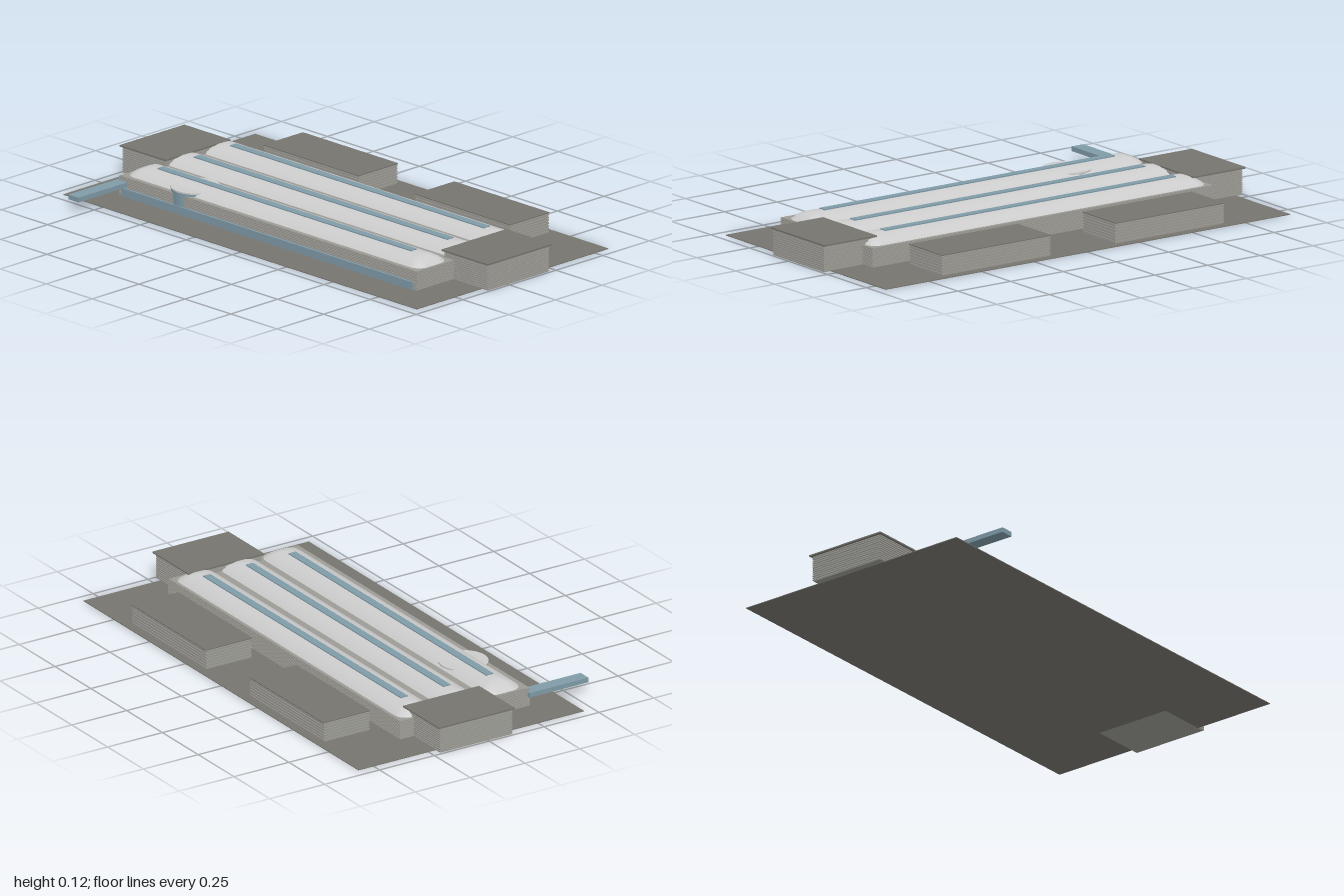
import * as THREE from 'three';

const mat = (color) => new THREE.MeshStandardMaterial({ color });
const grey = mat(0xcccccc);
const wall = mat(0x9c9b95);
const dark = mat(0x77756e);
const glass = mat(0x7f9ba8);

// Box given by its extents
function box(name, x0, x1, y0, y1, z0, z1, material) {
  const m = new THREE.Mesh(new THREE.BoxGeometry(x1 - x0, y1 - y0, z1 - z0), material);
  m.position.set((x0 + x1) / 2, (y0 + y1) / 2, (z0 + z1) / 2);
  m.name = name;
  return m;
}

// Building volume clad in projecting horizontal bands
function bandedBlock(name, x0, x1, y0, y1, z0, z1, bands) {
  const g = new THREE.Group();
  g.name = name;
  const p = 0.003;
  g.add(box('wallCore', x0 + p, x1 - p, y0, y1, z0 + p, z1 - p, wall));
  const h = (y1 - y0) / bands;
  for (let i = 0; i < bands; i++) {
    g.add(box('wallBand', x0, x1, y0 + h * (i + 0.25), y0 + h * (i + 0.8), z0, z1, wall));
  }
  return g;
}

// Cushion roof: rounded rectangles shrinking upward along a circular arc
function vaultGeometry(halfX, halfZ, rise, levels = 10, cornerSteps = 6) {
  const R = (halfZ * halfZ + rise * rise) / (2 * rise);
  const pos = [];
  const index = [];
  const n = 4 * (cornerSteps + 1);
  for (let l = 0; l <= levels; l++) {
    const w = halfZ * (1 - l / levels);
    const len = halfX - (halfZ - w);
    const y = rise - R + Math.sqrt(R * R - w * w);
    const r = w * 0.6;
    for (let c = 0; c < 4; c++) {
      const sx = c === 0 || c === 3 ? 1 : -1;
      const sz = c < 2 ? 1 : -1;
      for (let s = 0; s <= cornerSteps; s++) {
        const a = (c + s / cornerSteps) * Math.PI / 2;
        pos.push(sx * (len - r) + r * Math.cos(a), y, sz * (w - r) + r * Math.sin(a));
      }
    }
    if (l === 0) continue;
    for (let i = 0; i < n; i++) {
      const j = (i + 1) % n;
      const a = (l - 1) * n + i, b = (l - 1) * n + j;
      index.push(a, a + n, b, b, a + n, b + n);
    }
  }
  const g = new THREE.BufferGeometry();
  g.setAttribute('position', new THREE.Float32BufferAttribute(pos, 3));
  g.setIndex(index);
  g.computeVertexNormals();
  return g;
}

function disc(name, radius, y0, y1, x, z, material) {
  const m = new THREE.Mesh(new THREE.CylinderGeometry(radius, radius, y1 - y0, 48), material);
  m.position.set(x, (y0 + y1) / 2, z);
  m.name = name;
  return m;
}

export function createModel() {
  const model = new THREE.Group();
  model.name = 'hallComplex';

  model.add(box('groundPlate', -0.96, 0.96, 0, 0.003, -0.57, 0.457, dark));

  // Main hall with three parallel vaults and their skylights
  model.add(bandedBlock('hallWalls', -0.81, 0.81, 0.003, 0.08, -0.283, 0.309, 12));
  const vault = vaultGeometry(0.8, 0.083, 0.034);
  for (const z of [-0.185, 0.01, 0.205]) {
    const roof = new THREE.Mesh(vault, grey);
    roof.position.set(0, 0.08, z);
    roof.name = 'vaultRoof';
    model.add(roof);
    model.add(box('skylight', -0.69, 0.69, 0.108, 0.117, z - 0.016, z + 0.016, glass));
  }

  // Glazed strip along the front
  model.add(box('frontGlazing', -0.79, 0.79, 0.003, 0.035, 0.3, 0.315, glass));

  // Round entrance tower breaking through the front vault
  model.add(disc('entranceGlass', 0.092, 0.035, 0.09, -0.485, 0.221, glass));
  model.add(disc('entranceCanopy', 0.096, 0.09, 0.096, -0.485, 0.219, grey));

  // Enclosed footbridge
  model.add(box('footbridge', -0.82, -0.765, 0.043, 0.062, 0.3, 0.57, glass));

  for (const s of [-1, 1]) {
    // End pavilions with overhanging roofs
    const xa = Math.min(s * 0.757, s * 0.993), xb = Math.max(s * 0.757, s * 0.993);
    model.add(bandedBlock('endPavilion', xa, xb, 0, 0.105, -0.219, 0.11, 12));
    model.add(box('endPavilionRoof', xa - 0.007, xb + 0.007, 0.105, 0.111, -0.23, 0.117, dark));

    // Rear annexes
    const ba = Math.min(s * 0.153, s * 0.67), bb = Math.max(s * 0.153, s * 0.67);
    model.add(bandedBlock('rearAnnex', ba, bb, 0.003, 0.082, -0.538, -0.33, 7));
    model.add(box('rearAnnexRoof', ba, bb, 0.082, 0.086, -0.54, -0.328, dark));
  }
  return model;
}
